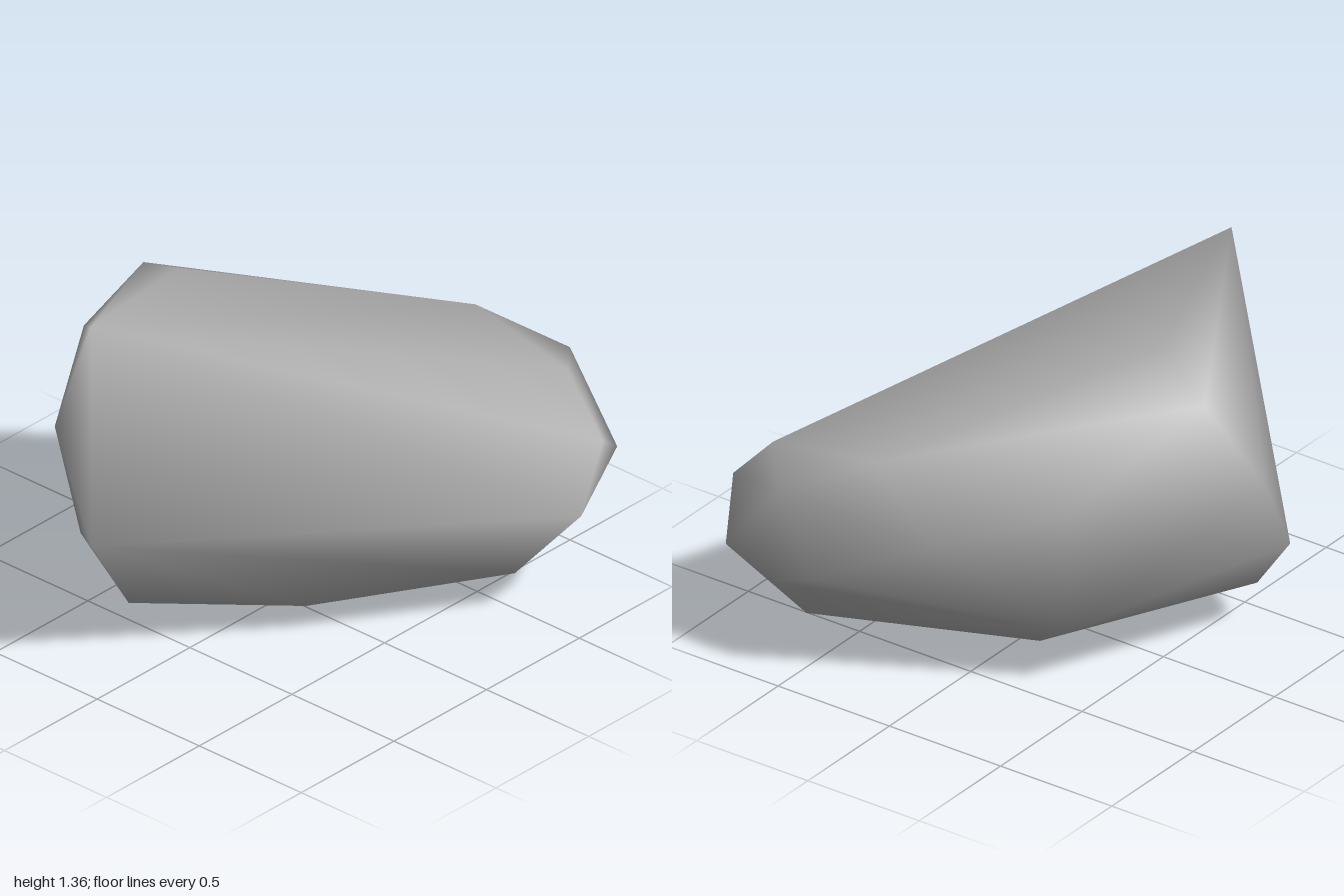
import * as THREE from 'three';
import { ConvexGeometry } from 'three/addons/geometries/ConvexGeometry.js';
import { mergeVertices } from 'three/addons/utils/BufferGeometryUtils.js';

// Corners of the boulder, grouped by region
const corners = [
  // left tip and high ridge
  [-1, 0.63, -0.03], [-0.76, 1.36, -0.25], [-0.08, 1.24, -0.44], [0.02, 1.12, -0.7],
  // back
  [-0.07, 0.81, -0.91], [-0.26, 0.48, -0.88], [-0.385, 0.18, -0.64],
  // back right flank
  [0.51, 0.8, -0.44], [0.83, 0.69, -0.07], [0.44, 0.27, -0.39],
  // rounded right end
  [0.82, 0.95, 0.2], [1, 0.81, 0.5], [0.98, 0.48, 0.37], [0.98, 0.41, 0.55], [0.98, 0.5, 0.75],
  [0.8, 0.87, 0.67], [0.77, 0.66, 0.87], [0.61, 0.43, 0.91],
  // underside
  [0.46, 0.18, 0.72], [0.69, 0.13, 0.6], [0.17, 0, -0.07], [-0.16, 0.13, 0.26], [-0.5, 0.07, -0.3],
];

export function createModel() {
  const group = new THREE.Group();
  group.name = 'boulder';

  const stone = new THREE.MeshStandardMaterial({ color: 0xa8a8a8 });
  stone.name = 'stone grey';

  // Convex hull with shared corners, so the shading is smooth all over
  let geometry = new ConvexGeometry(corners.map((p) => new THREE.Vector3(...p)));
  geometry.deleteAttribute('normal');
  geometry = mergeVertices(geometry, 1e-4);
  geometry.computeVertexNormals();

  const rock = new THREE.Mesh(geometry, stone);
  rock.name = 'rock';
  group.add(rock);
  return group;
}
